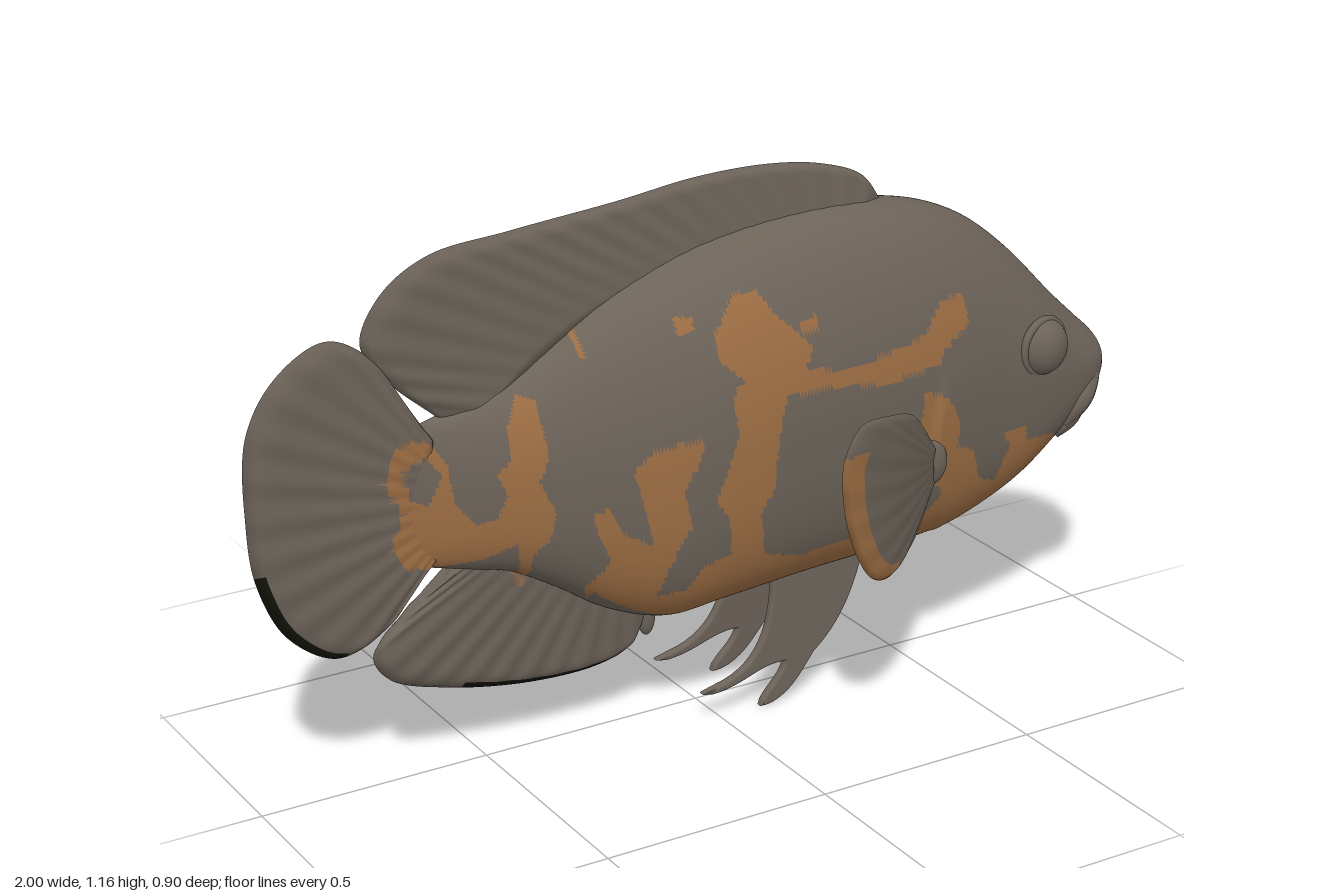
import * as THREE from 'three';

const skin = new THREE.MeshStandardMaterial({ color: 0x6c6359 });
skin.name = 'grey brown skin';
const orange = new THREE.MeshStandardMaterial({ color: 0x9c6d43 });
orange.name = 'orange marking';
const dark = new THREE.MeshStandardMaterial({ color: 0x14140c });
dark.name = 'dark edge';
const palette = [skin, orange, dark];

// Outlines of the flank markings, x and y in hundredths of a unit
const ringPatch = [-71,71, -67,74, -62,73, -59,68, -58,60, -54,55, -50,56, -48,61, -50,65, -47,68, -47,74, -44,80,
  -41,79, -40,68, -42,63, -39,56, -40,50, -43,47, -42,38, -44,40, -46,50, -52,47, -60,46, -67,47, -71,52, -68,59, -72,66];
const ringHole = [-68,68, -63,70, -60,66, -63,60, -67,62];
const flankPatch = [-5,88, 1,95, 6,95, 9,90, 16,83, 14,79, 22,77, 33,78, 44,80, 49,86, 55,86, 56,80, 49,76, 47,73,
  33,72, 20,74, 9,74, 7,66, 6,55, 3,50, 5,40, 15,37, 25,38, 36,38, 36,30, 20,29, 6,29, -10,27, -20,26, -28,29,
  -32,38, -28,44, -31,51, -32,55, -29,56, -26,50, -20,47, -22,56, -24,63, -20,67, -14,68, -9,68, -11,63, -14,58,
  -12,50, -16,42, -18,34, -12,35, -9,40, -3,42, -4,50, -7,55, -4,63, -2,68, -3,76, 0,79, -5,83];
const cheekPatch = [43,68, 49,66, 53,59, 52,54, 57,52, 60,44, 65,42, 68,50, 66,53, 72,54, 73,50, 82,49, 83,46, 79,40,
  68,33, 57,30, 38,29, 33,33, 37,38, 47,40, 49,44, 44,50, 42,58];
const spots = [[-31,95, -27,96, -26,90, -27,85, -31,86], [-12,92, -8,92, -9,89, -12,89], [14,88, 18,89, 18,86, 14,86]];
const patches = [ringPatch, flankPatch, cheekPatch, ...spots];

function inside(poly, x, y) {
  let hit = false;
  for (let i = 0, j = poly.length - 2; i < poly.length; j = i, i += 2) {
    const xi = poly[i] / 100, yi = poly[i + 1] / 100, xj = poly[j] / 100, yj = poly[j + 1] / 100;
    if ((yi > y) !== (yj > y) && x < ((xj - xi) * (y - yi)) / (yj - yi) + xi) hit = !hit;
  }
  return hit;
}

function marking(x, y, z) {
  if (x > -0.3 && Math.abs(z) < 0.1) return 0;
  return !inside(ringHole, x, y) && patches.some((p) => inside(p, x, y)) ? 1 : 0;
}

// Closed skin of rings: at(u, k) gives a point, paint(x, y, z, s) a palette index
function ringSurface(nu, nk, at, paint) {
  const pos = [], lists = palette.map(() => []);
  for (let i = 0; i <= nu; i++) for (let k = 0; k < nk; k++) pos.push(...at(i / nu, k / nk));
  const addFace = (s, ...f) => {
    const c = [0, 1, 2].map((d) => f.reduce((sum, v) => sum + pos[v * 3 + d], 0) / 3);
    lists[paint(c[0], c[1], c[2], s)].push(...f);
  };
  for (let i = 0; i < nu; i++) {
    for (let k = 0; k < nk; k++) {
      const k2 = (k + 1) % nk, s = (k + 0.5) / nk;
      const a = i * nk + k, b = a + nk, c = i * nk + k2, d = c + nk;
      addFace(s, a, b, c);
      addFace(s, b, d, c);
    }
  }
  const geo = new THREE.BufferGeometry();
  geo.setAttribute('position', new THREE.Float32BufferAttribute(pos, 3));
  geo.setIndex(lists.flat());
  let start = 0;
  lists.forEach((list, m) => {
    if (list.length) geo.addGroup(start, list.length, m);
    start += list.length;
  });
  geo.computeVertexNormals();
  return geo;
}

function mirrored(geo) {
  const g = geo.index ? geo.clone() : geo.clone().setIndex([...Array(geo.attributes.position.count).keys()]);
  g.scale(1, 1, -1);
  const ix = g.index.array;
  for (let i = 0; i < ix.length; i += 3) [ix[i], ix[i + 1]] = [ix[i + 1], ix[i]];
  g.computeVertexNormals();
  return g;
}

const spline = (pts) => new THREE.CatmullRomCurve3(pts.map(([x, y, z = 0]) => new THREE.Vector3(x, y, z)));

// Rayed fin stretched from a base line to an outer edge, tapering in thickness
function finGeometry(base, edge, t0, t1, rays, paint) {
  const b = spline(base), e = spline(edge);
  const ofSide = (s) => 1 - Math.abs(2 * s - 1);
  return ringSurface(120, 36, (u, s) => {
    const v = ofSide(s), p = b.getPointAt(u).lerp(e.getPointAt(u), v);
    const taper = Math.min(1, Math.sqrt((1 - v) * 10)) * Math.min(1, Math.sqrt(Math.min(u, 1 - u) * 20));
    const ripple = 1 + 0.15 * v * Math.sin(u * rays * Math.PI * 2);
    const t = v === 0 ? 0 : (t0 + (t1 - t0) * v) * taper * ripple;
    return [p.x, p.y, s < 0.5 ? t : -t];
  }, (x, y, z, s) => paint(x, y, z, ofSide(s)));
}

// Body stations: x, back height, belly height, half width
const stations = [
  [-0.74, 0.68, 0.54, 0.012], [-0.65, 0.75, 0.47, 0.03], [-0.55, 0.78, 0.44, 0.06], [-0.45, 0.82, 0.415, 0.095],
  [-0.35, 0.88, 0.36, 0.13], [-0.25, 0.94, 0.295, 0.16], [-0.12, 0.995, 0.25, 0.192], [0, 1.03, 0.26, 0.208],
  [0.2, 1.055, 0.276, 0.213], [0.4, 1.05, 0.284, 0.205], [0.55, 1.02, 0.295, 0.19], [0.66, 0.968, 0.324, 0.175],
  [0.76, 0.888, 0.372, 0.163], [0.87, 0.775, 0.46, 0.142], [0.94, 0.708, 0.53, 0.122], [0.975, 0.675, 0.565, 0.095],
  [0.99, 0.655, 0.585, 0.06]];

function bodyGeometry() {
  const shape = new THREE.CubicInterpolant(stations.map((s) => s[0]), stations.flatMap((s) => s.slice(1)), 3, new Float32Array(3));
  return ringSurface(250, 140, (u, k) => {
    const x = -0.74 + 1.73 * u, [top, bottom, w] = shape.evaluate(x);
    const end = u === 0 || u === 1 ? 0 : 1;
    const mid = bottom + (top - bottom) * 0.47, a = k * Math.PI * 2;
    const sy = Math.sin(a), n = sy > 0 ? 2 : 2.8;
    const y = mid + sy * (sy > 0 ? top - mid : mid - bottom) * end;
    let z = w * Math.pow(Math.max(0, 1 - Math.abs(sy) ** n), 1 / n) * Math.sign(Math.cos(a)) * end;
    // Raised rear edge of the gill cover
    const g = x - (0.45 + 1.2 * (y - 0.55) ** 2);
    if (g > 0 && y < 0.75) z *= 1 + 0.06 * Math.min(1, g / 0.02) * Math.exp(-g / 0.07) * Math.min(1, (0.75 - y) * 8);
    return [x, y, z];
  }, (x, y, z) => (y < 0.3 && Math.abs(z) < 0.085 && x > 0.33 && x < 0.45 ? 2 : marking(x, y, z)));
}

export function createModel() {
  const fish = new THREE.Group();
  fish.name = 'fish';
  const add = (name, geo, mat = palette) => {
    const mesh = new THREE.Mesh(geo, mat);
    mesh.name = name;
    fish.add(mesh);
  };
  // The fish swims towards +x; the near (+z) part is mirrored to the far side
  const addPair = (name, geo, mat = palette) => {
    add('near' + name, geo, mat);
    add('far' + name, mirrored(geo), mat);
  };

  add('body', bodyGeometry());

  // Fins on the centre line
  add('dorsalFin', finGeometry(
    [[-0.52, 0.74], [-0.4, 0.82], [-0.2, 0.93], [0, 1.0], [0.2, 1.03], [0.43, 1.02]],
    [[-0.58, 0.76], [-0.7, 0.87], [-0.747, 0.95], [-0.7, 1.04], [-0.6, 1.1], [-0.42, 1.12], [-0.18, 1.14], [0, 1.16],
      [0.17, 1.16], [0.3, 1.14], [0.4, 1.1], [0.45, 1.035]],
    0.03, 0.013, 20, () => 0));
  add('tailFin', finGeometry(
    [[-0.61, 0.47], [-0.6, 0.6], [-0.61, 0.74]],
    [[-0.64, 0.45], [-0.73, 0.335], [-0.82, 0.305], [-0.925, 0.374], [-0.985, 0.5], [-1, 0.63], [-0.99, 0.81],
      [-0.925, 0.914], [-0.82, 0.968], [-0.73, 0.92], [-0.64, 0.77]],
    0.03, 0.013, 15, (x, y, z, v) => (v > 0.96 && y < 0.52 && x < -0.8 ? 2 : marking(x, y, z))));
  add('analFin', finGeometry(
    [[-0.13, 0.29], [-0.28, 0.36], [-0.4, 0.45], [-0.55, 0.47]],
    [[-0.12, 0.25], [-0.16, 0.17], [-0.23, 0.145], [-0.39, 0.145], [-0.58, 0.18], [-0.71, 0.23], [-0.745, 0.29],
      [-0.68, 0.36], [-0.58, 0.43]],
    0.03, 0.013, 14, (x, y, z, v) => (v > 0.95 && x > -0.55 && y < 0.19 ? 2 : marking(x, y, z))));

  // Pectoral fins swept out and back
  const pectoral = finGeometry(
    [[0.45, 0.48], [0.46, 0.52], [0.45, 0.56]],
    [[0.43, 0.465], [0.33, 0.4], [0.24, 0.375], [0.17, 0.4], [0.11, 0.48], [0.07, 0.59], [0.068, 0.69], [0.12, 0.745],
      [0.225, 0.73], [0.33, 0.685], [0.43, 0.58]],
    0.016, 0.006, 12, (x, y, z, v) => (v > 0.86 && y < 0.69 && x < 0.27 ? 1 : 0));
  const pp = pectoral.attributes.position;
  for (let i = 0; i < pp.count; i++) {
    const d = 0.46 - pp.getX(i);
    pp.setZ(i, pp.getZ(i) + 0.195 + 0.64 * d + 0.03 * Math.sin(d * 8));
  }
  pectoral.computeVertexNormals();
  addPair('PectoralFin', pectoral);
  addPair('PectoralRoot', new THREE.SphereGeometry(1, 24, 16).scale(0.04, 0.05, 0.022).translate(0.45, 0.52, 0.2), skin);

  // Forked pelvic fins
  const outline = new THREE.Shape();
  outline.moveTo(0.14, 0.33);
  outline.bezierCurveTo(0.14, 0.18, 0.11, 0.08, -0.035, 0.068);
  outline.bezierCurveTo(0.06, 0.065, 0.09, 0.11, 0.165, 0.1);
  outline.bezierCurveTo(0.165, 0.06, 0.12, 0.04, 0.105, 0.01);
  outline.bezierCurveTo(0.17, 0.015, 0.2, 0.07, 0.23, 0.105);
  outline.bezierCurveTo(0.29, 0.15, 0.33, 0.21, 0.36, 0.33);
  const pelvic = new THREE.ExtrudeGeometry(outline, {
    depth: 0.008, curveSegments: 16, bevelThickness: 0.006, bevelSize: 0.006, bevelSegments: 3 });
  const vp = pelvic.attributes.position;
  for (let i = 0; i < vp.count; i++) vp.setZ(i, vp.getZ(i) + 0.082 + (0.3 - vp.getY(i)) * 0.04);
  pelvic.computeVertexNormals();
  addPair('PelvicFin', pelvic, skin);

  // Vent, eyes and lips
  add('vent', new THREE.SphereGeometry(1, 16, 12).scale(0.02, 0.045, 0.018).translate(-0.12, 0.23, 0), skin);
  addPair('Eye', new THREE.SphereGeometry(1, 32, 24).scale(0.058, 0.062, 0.044).translate(0.77, 0.7, 0.149), skin);
  addPair('EyeRim', new THREE.TorusGeometry(0.06, 0.009, 10, 40).rotateY(0.2).translate(0.77, 0.7, 0.151), skin);
  const lip = (half) => spline([...half.slice(1).reverse().map(([x, y, z]) => [x, y, -z]), ...half]);
  add('upperLip', new THREE.TubeGeometry(
    lip([[0.972, 0.635, 0], [0.955, 0.612, 0.068], [0.905, 0.55, 0.115], [0.86, 0.5, 0.1]]), 60, 0.028, 14), skin);
  add('lowerLip', new THREE.TubeGeometry(
    lip([[0.957, 0.576, 0], [0.935, 0.558, 0.06], [0.885, 0.505, 0.1], [0.85, 0.475, 0.085]]), 60, 0.026, 14), skin);
  return fish;
}
